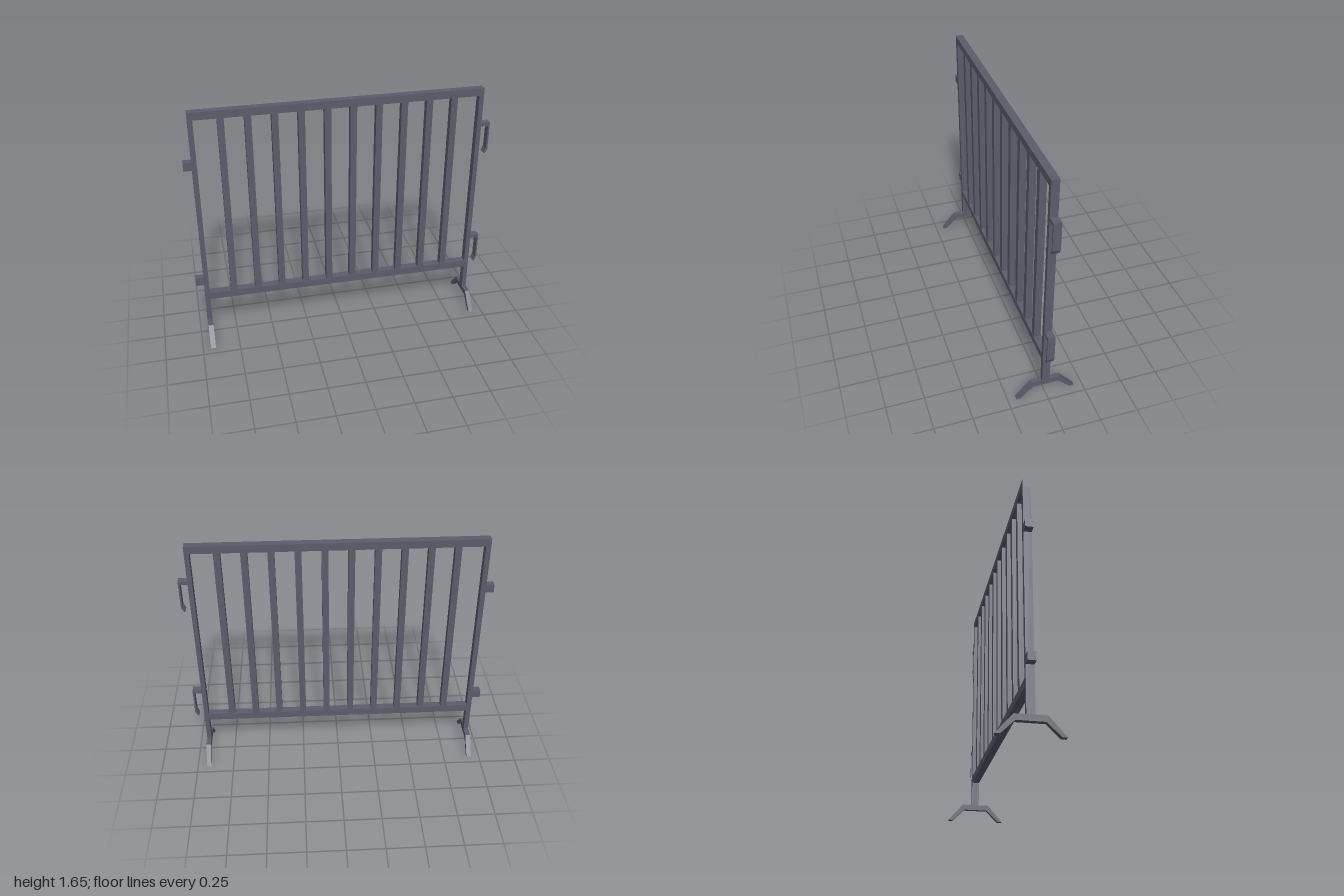
import * as THREE from 'three';

export function createModel() {
  const model = new THREE.Group();
  const steel = new THREE.MeshStandardMaterial({ color: 0x5a5c6a });
  steel.name = 'dark slate steel';

  const add = (name, geometry) => {
    const mesh = new THREE.Mesh(geometry, steel);
    mesh.name = name;
    model.add(mesh);
    return mesh;
  };

  // Box given by its x and y limits, centred on z = 0
  const bar = (name, x0, x1, y0, y1, depth = 0.05) =>
    add(name, new THREE.BoxGeometry(x1 - x0, y1 - y0, depth))
      .position.set((x0 + x1) / 2, (y0 + y1) / 2, 0);

  // Flat outline extruded evenly about z = 0
  const plate = (points, depth) =>
    new THREE.ExtrudeGeometry(
      new THREE.Shape(points.map(([x, y]) => new THREE.Vector2(x, y))),
      { depth, bevelEnabled: false }
    ).translate(0, 0, -depth / 2);

  // Frame
  bar('topRail', -0.947, 0.938, 1.6, 1.65);
  bar('bottomRail', -0.914, 0.908, 0.287, 0.336);
  bar('rightPost', -0.947, -0.914, 0.08, 1.6);
  bar('leftPost', 0.908, 0.938, 0.08, 1.6);

  // Upright infill bars
  for (let i = 0; i < 10; i++) {
    const x = -0.748 + i * 0.1656;
    bar('infillBar', x - 0.021, x + 0.021, 0.336, 1.6, 0.044);
  }

  // Splayed feet: the profile runs along z
  const half = [[0.094, 0.117], [0.196, 0], [0.166, 0], [0.084, 0.08]];
  const mirrored = half.map(([z, y]) => [-z, y]).reverse();
  for (const [name, x, width] of [['rightFoot', -0.9305, 0.034], ['leftFoot', 0.923, 0.031]]) {
    add(name, plate([...half, ...mirrored], width).rotateY(Math.PI / 2)).position.x = x;
  }

  // Coupling hooks on the left post, matching lugs on the right post
  const hook = [
    [0.938, 1.408], [0.998, 1.408], [0.998, 1.22], [0.982, 1.187],
    [0.972, 1.191], [0.987, 1.224], [0.987, 1.386], [0.938, 1.386]
  ];
  for (const drop of [0, 0.86]) {
    add('couplingHook', plate(hook, 0.05)).position.y = -drop;
    bar('couplingLug', -1, -0.947, 1.268 - drop, 1.322 - drop);
  }

  return model;
}
